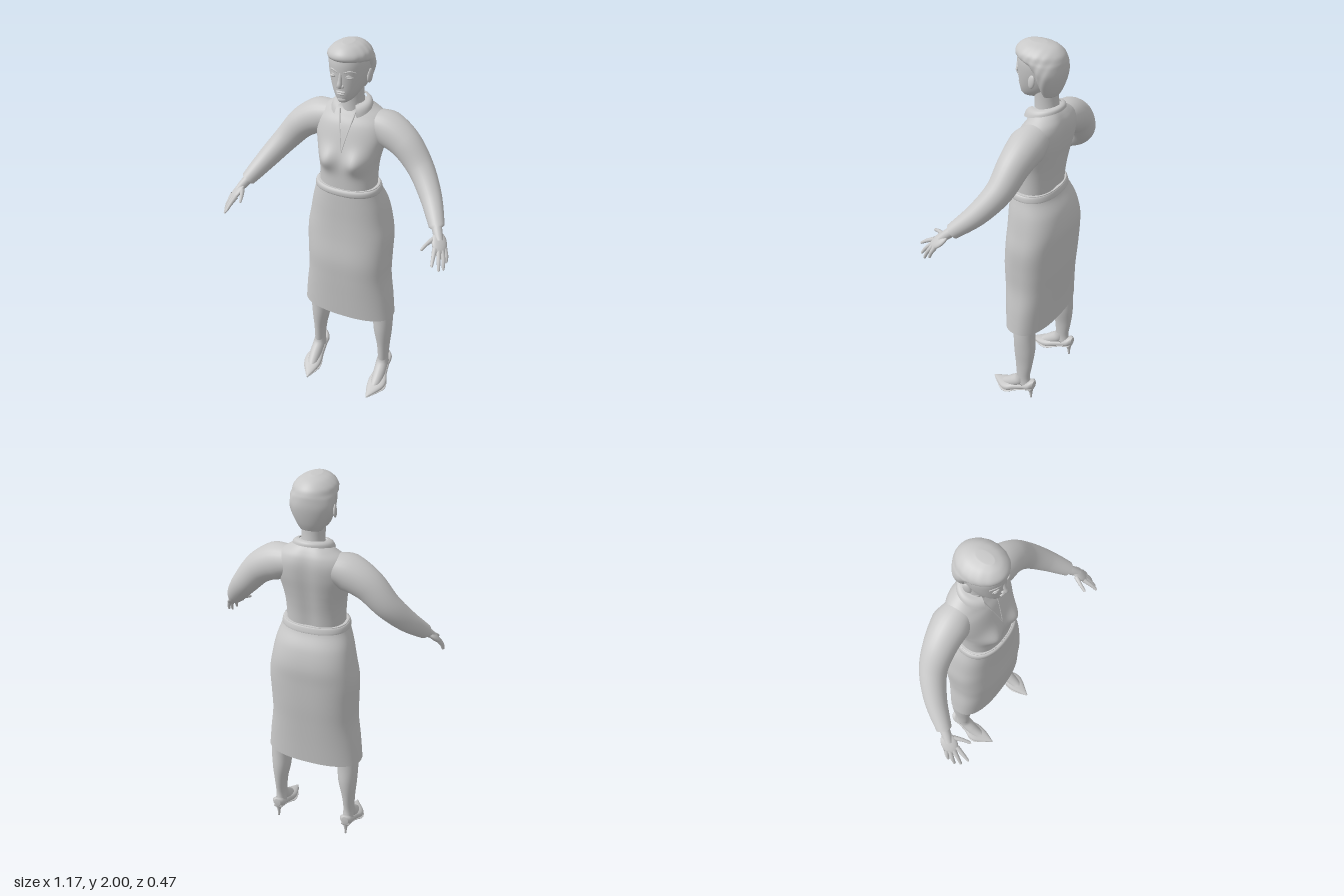
import * as THREE from 'three';

const stone = new THREE.MeshStandardMaterial({ color: 0xc8c8c8, side: THREE.DoubleSide });
stone.name = 'plain grey';

function add(parent, name, geometry) {
  const mesh = new THREE.Mesh(geometry, stone);
  mesh.name = name;
  parent.add(mesh);
  return mesh;
}

// Smooth skin over cross-sections [height, halfWidth, zFront, zBack, centreX, squareness]
function loft(rings, { n = 40, sub = 5, capped = true, tweak } = {}) {
  const rows = [];
  const at = (i, k) => {
    const r = rings[Math.min(Math.max(i, 0), rings.length - 1)];
    return r[k] ?? (k === 5 ? 2 : 0);
  };
  for (let i = 0; i < rings.length - 1; i++) {
    for (let j = 0; j < sub + (i === rings.length - 2 ? 1 : 0); j++) {
      const t = j / sub;
      rows.push([0, 1, 2, 3, 4, 5].map((k) => {
        const a = at(i - 1, k), b = at(i, k), c = at(i + 1, k), d = at(i + 2, k);
        return b + 0.5 * t * (c - a + t * (2 * a - 5 * b + 4 * c - d + t * (3 * (b - c) + d - a)));
      }));
    }
  }
  const pos = [], index = [];
  const round = (v, e) => Math.sign(v) * Math.abs(v) ** (2 / e);
  for (const [y, w, zf, zb, cx, e] of rows) {
    for (let j = 0; j < n; j++) {
      const a = (j / n) * Math.PI * 2;
      const p = new THREE.Vector3(cx + w * round(Math.cos(a), e), y,
        (zf + zb) / 2 + ((zf - zb) / 2) * round(Math.sin(a), e));
      if (tweak) tweak(p);
      pos.push(p.x, p.y, p.z);
    }
  }
  for (let i = 0; i < rows.length - 1; i++) {
    for (let j = 0; j < n; j++) {
      const a = i * n + j, b = i * n + ((j + 1) % n);
      index.push(a, a + n, b, b, a + n, b + n);
    }
  }
  if (capped) {
    [0, rows.length - 1].forEach((i, top) => {
      const [y, , zf, zb, cx] = rows[i], c = pos.length / 3;
      pos.push(cx, y, (zf + zb) / 2);
      for (let j = 0; j < n; j++) {
        const a = i * n + j, b = i * n + ((j + 1) % n);
        index.push(...(top ? [c, b, a] : [c, a, b]));
      }
    });
  }
  const g = new THREE.BufferGeometry();
  g.setAttribute('position', new THREE.Float32BufferAttribute(pos, 3));
  g.setIndex(index);
  g.computeVertexNormals();
  return g;
}

// Tapered limb through points [x, y, z, radius]
function limb(points, seg = 24, sides = 20) {
  const curve = new THREE.CatmullRomCurve3(points.map((p) => new THREE.Vector3(p[0], p[1], p[2])));
  const g = new THREE.TubeGeometry(curve, seg, 1, sides);
  const P = g.attributes.position, N = g.attributes.normal;
  for (let i = 0; i <= seg; i++) {
    const c = curve.getPointAt(i / seg);
    const t = curve.getUtoTmapping(i / seg) * (points.length - 1);
    const k = Math.min(Math.floor(t), points.length - 2);
    const r = THREE.MathUtils.lerp(points[k][3], points[k + 1][3], t - k);
    for (let j = 0; j <= sides; j++) {
      const v = i * (sides + 1) + j;
      P.setXYZ(v, c.x + N.getX(v) * r, c.y + N.getY(v) * r, c.z + N.getZ(v) * r);
    }
  }
  return g;
}

const flip = (points, s) => points.map(([x, ...rest]) => [x * s, ...rest]);
function blob(parent, name, [x, y, z], [a, b, c]) {
  const m = add(parent, name, new THREE.SphereGeometry(1, 20, 14));
  m.position.set(x, y, z);
  m.scale.set(a, b, c);
  return m;
}

function buildHead(g) {
  add(g, 'neck', loft([[1.63, 0.07, -0.04, -0.17], [1.69, 0.056, -0.042, -0.158],
    [1.75, 0.053, -0.04, -0.15], [1.82, 0.056, -0.03, -0.15]]));
  add(g, 'head', loft([[1.737, 0.016, 0.02, -0.02], [1.75, 0.038, 0.031, -0.07], [1.78, 0.06, 0.038, -0.125],
    [1.82, 0.077, 0.04, -0.155], [1.87, 0.089, 0.042, -0.172], [1.92, 0.092, 0.043, -0.175],
    [1.96, 0.08, 0.03, -0.155], [1.985, 0.045, -0.01, -0.11]]));
  // swept-back hair with a raised front roll
  add(g, 'hair', loft([[1.77, 0.052, -0.09, -0.154], [1.80, 0.07, -0.078, -0.168], [1.84, 0.088, -0.066, -0.18],
    [1.88, 0.098, -0.05, -0.187], [1.915, 0.1, -0.005, -0.187], [1.935, 0.099, 0.046, -0.184],
    [1.96, 0.09, 0.05, -0.172], [1.985, 0.06, 0.025, -0.14], [1.998, 0.022, -0.01, -0.09]], {
    n: 64,
    tweak: (p) => { p.x *= 1 + 0.012 * Math.sin(p.z * 160 + p.y * 60); },
  }));
  add(g, 'nose', limb([[0, 1.885, 0.036, 0.006], [0, 1.85, 0.045, 0.009], [0, 1.828, 0.051, 0.012],
    [0, 1.818, 0.043, 0.008]], 16, 14));
  blob(g, 'upperLip', [0, 1.795, 0.037], [0.023, 0.005, 0.009]);
  blob(g, 'lowerLip', [0, 1.785, 0.036], [0.02, 0.006, 0.009]);
  blob(g, 'chin', [0, 1.755, 0.022], [0.022, 0.016, 0.014]);
  for (const s of [1, -1]) {
    blob(g, 'eye', [s * 0.038, 1.863, 0.029], [0.016, 0.008, 0.01]);
    add(g, 'eyelid', limb(flip([[0.02, 1.863, 0.036, 0.002], [0.037, 1.873, 0.036, 0.004],
      [0.056, 1.863, 0.024, 0.002]], s), 12, 8));
    add(g, 'brow', limb(flip([[0.016, 1.886, 0.038, 0.004], [0.04, 1.892, 0.031, 0.005],
      [0.064, 1.884, 0.014, 0.002]], s), 12, 8));
    blob(g, 'nostril', [s * 0.011, 1.822, 0.041], [0.007, 0.007, 0.009]);
    const ear = blob(g, 'ear', [s * 0.091, 1.845, -0.075], [0.009, 0.032, 0.019]);
    ear.rotation.set(-0.2, s * -0.25, 0);
  }
}

function buildBlouse(g) {
  add(g, 'blouse', loft([[1.25, 0.143, 0.045, -0.16, 0, 2.3], [1.35, 0.143, 0.045, -0.168, 0, 2.3],
    [1.42, 0.148, 0.046, -0.178, 0, 2.3], [1.48, 0.16, 0.038, -0.188, 0, 2.3], [1.55, 0.175, 0.018, -0.2, 0, 2.3],
    [1.61, 0.175, -0.005, -0.205, 0, 2.2], [1.65, 0.155, -0.03, -0.2], [1.68, 0.11, -0.048, -0.185],
    [1.705, 0.07, -0.05, -0.165]], {
    n: 72, sub: 7,
    // bust and shallow spine hollow
    tweak: (p) => {
      const dx = Math.abs(p.x) - 0.075, dy = p.y - 1.445;
      if (p.z > -0.03) p.z += 0.034 * Math.exp(-dx * dx / 0.0022 - dy * dy / 0.0028);
      if (p.z < -0.12) p.z += 0.008 * Math.exp(-p.x * p.x / 0.0015);
    },
  }));
  // turned-down collar, open at the front
  const collar = new THREE.PlaneGeometry(1, 1, 48, 6), P = collar.attributes.position;
  for (let i = 0; i < P.count; i++) {
    const a = P.getX(i) * 5.2, v = 0.5 - P.getY(i), f = (1 - Math.cos(a)) / 2;
    const out = v * (0.022 + 0.022 * f) + 0.006 * Math.sin(v * Math.PI);
    P.setXYZ(i, (0.064 + out) * Math.sin(a), 1.713 + 0.013 * Math.cos(a) - v * v * (0.02 + 0.03 * f * f),
      -0.1 - (0.06 + out) * Math.cos(a));
  }
  collar.computeVertexNormals();
  add(g, 'collar', collar);
  for (const s of [1, -1]) {
    add(g, 'necklineEdge', limb(flip([[0.04, 1.675, -0.042, 0.004], [0.026, 1.61, -0.008, 0.004],
      [0.012, 1.55, 0.016, 0.004], [0, 1.49, 0.037, 0.003]], s), 20, 8));
  }
}

function buildArm(g, s) {
  add(g, 'sleeve', limb(flip([[0.07, 1.6, -0.115, 0.06], [0.17, 1.585, -0.112, 0.088], [0.26, 1.535, -0.105, 0.076],
    [0.35, 1.435, -0.085, 0.063], [0.43, 1.335, -0.02, 0.052], [0.49, 1.255, 0.06, 0.038],
    [0.503, 1.237, 0.079, 0.035], [0.504, 1.236, 0.08, 0.02]], s), 48, 28));
  add(g, 'wrist', limb(flip([[0.49, 1.255, 0.06, 0.024], [0.512, 1.225, 0.095, 0.023], [0.53, 1.2, 0.12, 0.018]], s)));
  // palm: flattened ellipsoid lined up with the hand
  const palm = blob(g, 'palm', [s * 0.532, 1.193, 0.124], [0.038, 0.016, 0.056]);
  const along = new THREE.Vector3(s * 0.04, -0.07, 0.075).normalize();
  const across = new THREE.Vector3(s * 0.05, -0.01, -0.05).projectOnPlane(along).normalize();
  palm.quaternion.setFromRotationMatrix(
    new THREE.Matrix4().makeBasis(across, new THREE.Vector3().crossVectors(along, across), along));
  const fingers = [
    [[0.523, 1.18, 0.158], [0.531, 1.158, 0.2], [0.537, 1.135, 0.233]],
    [[0.54, 1.172, 0.153], [0.555, 1.136, 0.188], [0.564, 1.103, 0.21]],
    [[0.553, 1.17, 0.142], [0.571, 1.133, 0.167], [0.578, 1.096, 0.183]],
    [[0.56, 1.172, 0.126], [0.575, 1.143, 0.14], [0.58, 1.115, 0.15]],
    [[0.503, 1.208, 0.125], [0.484, 1.198, 0.165], [0.472, 1.185, 0.2]],
  ];
  fingers.forEach(([a, b, c], i) => {
    const tip = c.map((v, k) => v + (v - b[k]) * 0.1);
    add(g, i === 4 ? 'thumb' : 'finger',
      limb(flip([[...a, 0.012], [...b, 0.009], [...c, 0.006], [...tip, 0.0005]], s), 16, 10));
  });
}

function buildSkirt(g) {
  add(g, 'skirt', loft([[0.495, 0.255, 0.04, -0.2, 0, 2.4], [0.62, 0.242, 0.05, -0.208, 0, 2.4],
    [0.75, 0.224, 0.06, -0.218, 0, 2.5], [0.87, 0.224, 0.066, -0.228, 0, 2.5], [1.0, 0.225, 0.056, -0.234, 0, 2.5],
    [1.1, 0.208, 0.052, -0.237, 0, 2.5], [1.19, 0.19, 0.052, -0.218, 0, 2.4], [1.26, 0.168, 0.052, -0.182, 0, 2.3],
    [1.3, 0.157, 0.05, -0.17, 0, 2.3]], { n: 64, sub: 6, capped: false }));
  add(g, 'waistband', loft([[1.262, 0.16, 0.048, -0.175, 0, 2.3], [1.268, 0.167, 0.06, -0.18, 0, 2.3],
    [1.292, 0.163, 0.06, -0.174, 0, 2.3], [1.299, 0.152, 0.045, -0.168, 0, 2.3]], { n: 64, sub: 3 }));
}

function buildLeg(g, s) {
  const side = (rings) => rings.map((r) => r.map((v, k) => (k === 4 ? v * s : v)));
  add(g, 'leg', loft(side([[0.09, 0.03, -0.07, -0.15, 0.2], [0.15, 0.029, -0.062, -0.14, 0.2],
    [0.25, 0.035, -0.054, -0.154, 0.197], [0.36, 0.05, -0.044, -0.164, 0.19], [0.5, 0.058, -0.04, -0.16, 0.183],
    [0.75, 0.075, -0.015, -0.17, 0.14], [0.95, 0.09, 0.0, -0.18, 0.1]])));
  add(g, 'foot', limb(flip([[0.2, 0.17, -0.1, 0.026], [0.2, 0.115, -0.085, 0.034], [0.202, 0.07, -0.04, 0.034],
    [0.2, 0.032, 0.01, 0.028], [0.196, 0.015, 0.04, 0.01]], s)));
  // shoe sections run from toe to heel, then turn to lie along z
  const lay = (rings) => loft(side(rings)).rotateX(-Math.PI / 2);
  add(g, 'shoeUpper', lay([[-0.108, 0.003, 0.01, 0.004, 0.187], [-0.07, 0.024, 0.024, 0.001, 0.194, 2.3],
    [-0.02, 0.047, 0.042, 0.001, 0.203, 2.5], [0.02, 0.05, 0.058, 0.006, 0.205, 2.5],
    [0.06, 0.039, 0.075, 0.026, 0.202, 2.5], [0.11, 0.034, 0.1, 0.056, 0.2, 2.4],
    [0.15, 0.035, 0.132, 0.073, 0.2, 2.3], [0.172, 0.018, 0.136, 0.085, 0.2]]));
  add(g, 'sole', lay([[-0.109, 0.003, 0.006, 0, 0.187], [-0.07, 0.026, 0.008, 0, 0.194, 3],
    [-0.02, 0.05, 0.01, 0, 0.203, 3], [0.02, 0.051, 0.014, 0.004, 0.205, 3], [0.06, 0.037, 0.034, 0.024, 0.202, 3],
    [0.11, 0.03, 0.064, 0.052, 0.2, 3], [0.165, 0.024, 0.088, 0.07, 0.2, 3]]));
  add(g, 'stilettoHeel', loft(side([[0, 0.006, -0.146, -0.158, 0.2], [0.04, 0.009, -0.139, -0.16, 0.2],
    [0.085, 0.024, -0.118, -0.168, 0.2]]), { n: 20 }));
}

export function createModel() {
  const model = new THREE.Group();
  model.name = 'standingWoman';
  const part = (name, build, ...args) => {
    const g = new THREE.Group();
    g.name = name;
    build(g, ...args);
    model.add(g);
  };
  part('headGroup', buildHead);
  part('blouseGroup', buildBlouse);
  part('skirtGroup', buildSkirt);
  for (const [name, s] of [['left', 1], ['right', -1]]) {
    part(name + 'Arm', buildArm, s);
    part(name + 'Leg', buildLeg, s);
  }
  return model;
}
